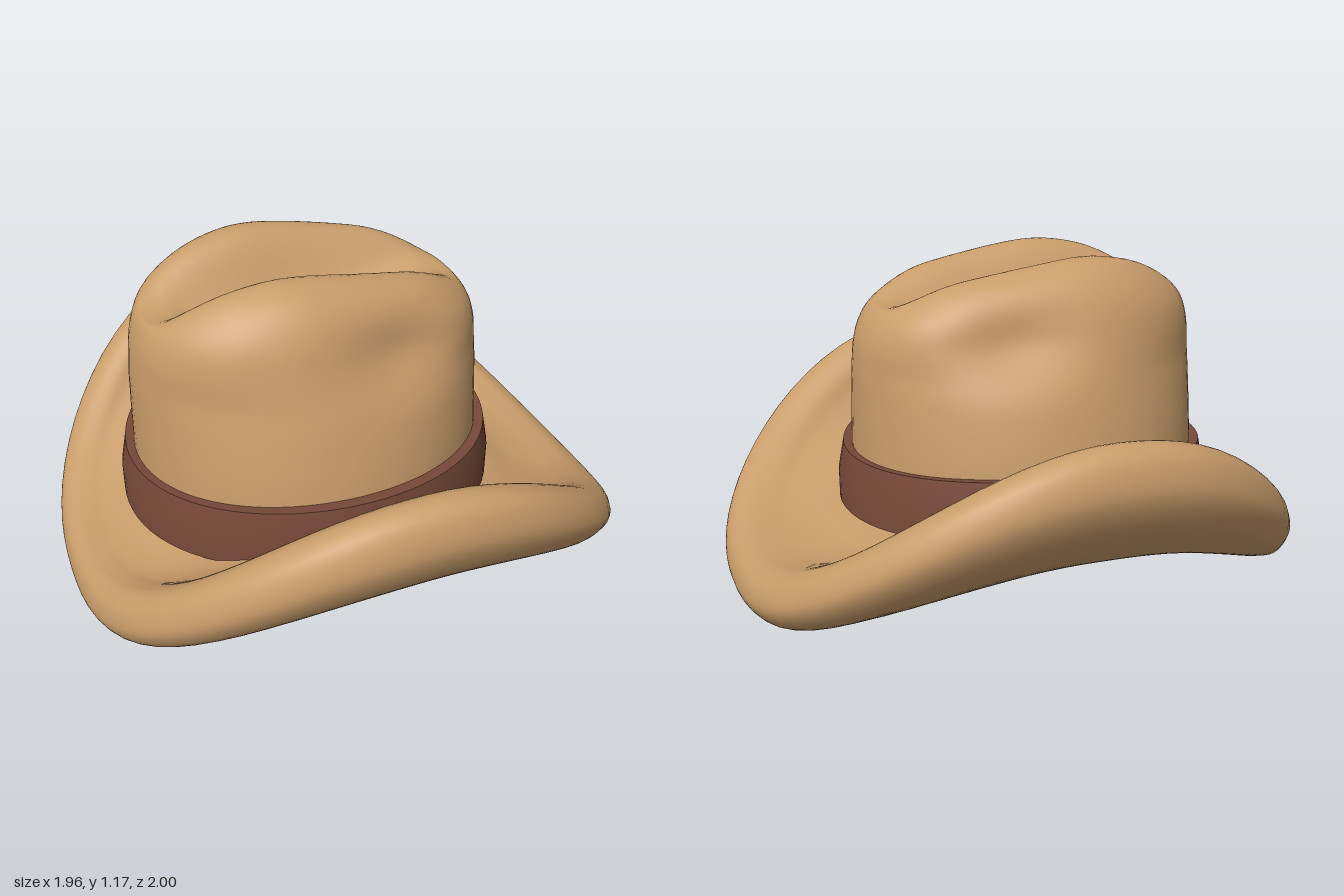
import * as THREE from 'three';
import { toCreasedNormals } from 'three/addons/utils/BufferGeometryUtils.js';

const CX = -0.085; // crown centre along x
const SEGS = 80;

// Skin of rings; point(t, angle) returns [x, y, z], t runs 0..1 along the section
function loft(rings, point) {
  const pos = [], idx = [];
  for (let j = 0; j <= rings; j++) {
    for (let i = 0; i < SEGS; i++) pos.push(...point(j / rings, (i / SEGS) * Math.PI * 2));
  }
  for (let j = 0; j < rings; j++) {
    for (let i = 0; i < SEGS; i++) {
      const n = (i + 1) % SEGS;
      const a = j * SEGS + i, b = j * SEGS + n, c = a + SEGS, d = b + SEGS;
      idx.push(a, c, b, b, c, d);
    }
  }
  const g = new THREE.BufferGeometry();
  g.setAttribute('position', new THREE.Float32BufferAttribute(pos, 3));
  g.setIndex(idx);
  g.computeVertexNormals();
  return g;
}

const curve = (pts) => new THREE.CatmullRomCurve3(pts.map((p) => new THREE.Vector3(p[0], p[1], p[2] || 0)));
const bell = (d, w) => Math.exp(-((d / w) ** 2));

// Radius factor of a rounded-square outline (n = 2 is a circle)
const squircle = (c, s, n) => (Math.abs(c) ** n + Math.abs(s) ** n) ** (-1 / n);

// Crown: tapering dome, lengthwise valley in the top and a pinch on each side
function crownGeometry() {
  const profile = curve([ // [half length, height, half width]
    [0.62, 0.28, 0.575], [0.617, 0.42, 0.565], [0.615, 0.55, 0.55], [0.612, 0.7, 0.515],
    [0.608, 0.82, 0.48], [0.592, 0.93, 0.443], [0.555, 1.02, 0.41], [0.49, 1.09, 0.372],
    [0.4, 1.145, 0.32], [0.28, 1.178, 0.24], [0.14, 1.187, 0.12], [0.001, 1.187, 0.001],
  ]);
  return loft(55, (t, a) => {
    const p = profile.getPoint(t);
    const c = Math.cos(a), s = Math.sin(a);
    const r = squircle(c, s, 2 + 0.4 * THREE.MathUtils.smoothstep(p.y, 0.8, 1.05));
    const dx = p.x * r * c;
    let z = p.z * r * s, y = p.y;
    // crown slopes down towards +x
    y -= 0.045 * THREE.MathUtils.smoothstep(dx, -0.2, 0.25) * THREE.MathUtils.smoothstep(y, 0.7, 1.1);
    const floor = 0.95 + 0.06 * Math.min(1, (dx / 0.45) ** 2);
    if (y > floor) y -= (y - floor) * Math.exp(-((Math.abs(z) / 0.13) ** 2.6));
    const pinch = 0.055 * bell(dx - 0.2, 0.2) * bell(p.y - 0.96, 0.13);
    z -= Math.sign(z) * pinch * Math.min(1, Math.abs(z) / 0.25);
    return [CX + dx, y, z];
  });
}

// Brim: section blended between the low ends (x) and the rolled-up sides (z),
// starting from the shallow head hollow underneath
function brimGeometry() {
  const hollow = [[-1, 0.43], [-0.75, 0.428], [-0.5, 0.41], [-0.27, 0.36], [-0.1, 0.285]];
  const ends = curve([...hollow,
    [0, 0.215], [0.3, 0.125], [0.57, 0.055], [0.78, 0.018], [0.92, 0.024], [1, 0.09], [0.975, 0.155],
    [0.88, 0.195], [0.76, 0.205], [0.62, 0.21], [0.45, 0.23], [0.3, 0.265], [0, 0.31]]);
  const sides = curve([...hollow,
    [0, 0.235], [0.25, 0.26], [0.5, 0.325], [0.8, 0.44], [0.94, 0.53], [1, 0.63], [0.94, 0.725],
    [0.8, 0.757], [0.66, 0.71], [0.575, 0.6], [0.48, 0.505], [0.26, 0.42], [0, 0.38]]);
  return loft(85, (t, a) => {
    const c = Math.cos(a), s = Math.sin(a);
    const r = squircle(c / 0.98, s, 2.35);
    const w = 1 - Math.min(1, Math.abs(r * c / 0.98) ** (c < 0 ? 2.25 : 2));
    const p = ends.getPoint(t).lerp(sides.getPoint(t), w);
    const ix = CX + 0.5 * c, iz = 0.5 * s; // head opening
    let x, z;
    if (p.x < 0) {
      x = CX + 0.5 * c * (1 + p.x);
      z = iz * (1 + p.x);
    } else {
      x = THREE.MathUtils.lerp(ix, r * c, p.x);
      z = THREE.MathUtils.lerp(iz, r * s, p.x);
    }
    return [x, p.y + 0.018 * x, z];
  });
}

// Band: crisp-edged strip around the foot of the crown
function bandGeometry() {
  const section = [[-0.09, 0.3], [0, 0.305], [0, 0.4], [-0.02, 0.505], [-0.09, 0.495]];
  const g = loft(section.length - 1, (t, a) => {
    const [o, y] = section[Math.round(t * (section.length - 1))];
    const s = Math.sin(a), c = Math.cos(a);
    return [CX + (0.665 + o) * c, y + 0.035 * s * s + 0.008 * c, (0.62 + o) * s];
  });
  return toCreasedNormals(g, 0.6);
}

export function createModel() {
  const felt = new THREE.MeshStandardMaterial({ color: 0xc99d6b });
  felt.name = 'tan felt';
  const leather = new THREE.MeshStandardMaterial({ color: 0x784a3a });
  leather.name = 'brown leather';

  const hat = new THREE.Group();
  hat.name = 'hat';
  const add = (name, geometry, material) => {
    const m = new THREE.Mesh(geometry, material);
    m.name = name;
    hat.add(m);
  };
  add('crown', crownGeometry(), felt);
  add('brim', brimGeometry(), felt);
  add('band', bandGeometry(), leather);
  return hat;
}
